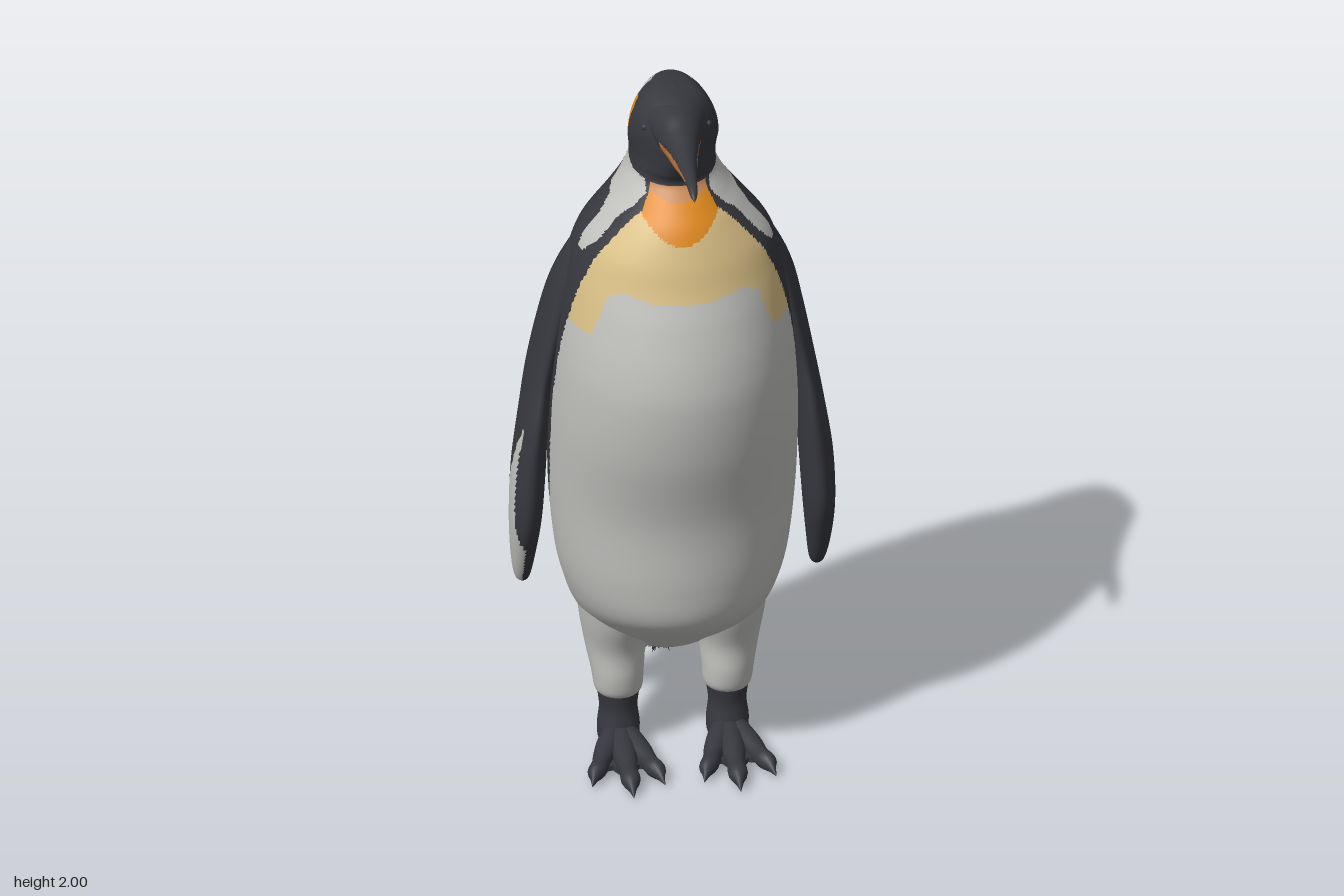
import * as THREE from 'three';
import { mergeGeometries } from 'three/addons/utils/BufferGeometryUtils.js';

const mat = (name, color) => {
  const m = new THREE.MeshStandardMaterial({ color });
  m.name = name;
  return m;
};

// Catmull-Rom through table rows, all columns at once
function sampleRows(rows, t) {
  const i = Math.min(Math.floor(t), rows.length - 2), f = t - i;
  const at = (k) => rows[Math.max(0, Math.min(rows.length - 1, k))];
  const [a, b, c, d] = [at(i - 1), at(i), at(i + 1), at(i + 2)];
  return b.map((_, k) => b[k] + 0.5 * f * (c[k] - a[k] + f * (2 * a[k] - 5 * b[k] + 4 * c[k] - d[k]
    + f * (3 * (b[k] - c[k]) + d[k] - a[k]))));
}

// Straight-line lookup in [key, value] pairs with rising keys
function lookup(pairs, key) {
  if (key <= pairs[0][0]) return pairs[0][1];
  for (let i = 1; i < pairs.length; i++) {
    const [k0, v0] = pairs[i - 1], [k1, v1] = pairs[i];
    if (key <= k1) return v0 + (v1 - v0) * (key - k0) / (k1 - k0);
  }
  return pairs[pairs.length - 1][1];
}

function inside(poly, a, b) {
  let hit = false;
  poly.forEach(([x1, y1], i) => {
    const [x2, y2] = poly[(i + 1) % poly.length];
    if ((y1 > b) !== (y2 > b) && a < x1 + (x2 - x1) * (b - y1) / (y2 - y1)) hit = !hit;
  });
  return hit;
}

// Loft of elliptical rings. Row: [position on axis, x, x radius, other centre, other radius].
// pick(centroid) gives the material index of each triangle; taper narrows a ring toward front or back.
function loft(name, rows, materials, { axis = 'y', steps = 6, segs = 24, pick = () => 0, taper = () => 0 } = {}) {
  const pos = [], lists = materials.map(() => []);
  const n = (rows.length - 1) * steps;
  for (let i = 0; i <= n; i++) {
    const [t, cx, rx, c2, r2] = sampleRows(rows, i / steps);
    const a = Math.max(0, rx), b = Math.max(0, r2);
    for (let j = 0; j < segs; j++) {
      const th = j / segs * Math.PI * 2, s = Math.sin(th), c = Math.cos(th);
      if (axis === 'y') pos.push(cx + a * s * (1 - taper(t, c)), t, c2 + b * c);
      else pos.push(cx - a * s, c2 + b * c, t);
    }
  }
  const p = new THREE.Vector3(), q = new THREE.Vector3();
  const tri = (...ids) => {
    p.set(0, 0, 0);
    ids.forEach((id) => p.add(q.fromArray(pos, id * 3)));
    lists[pick(p.divideScalar(3))].push(...ids);
  };
  for (let i = 0; i < n; i++) for (let j = 0; j < segs; j++) {
    const a = i * segs + j, b = i * segs + (j + 1) % segs;
    tri(a, b, b + segs);
    tri(a, b + segs, a + segs);
  }
  const g = new THREE.BufferGeometry();
  g.setAttribute('position', new THREE.Float32BufferAttribute(pos, 3));
  g.setIndex(lists.flat());
  let start = 0;
  lists.forEach((l, i) => { if (l.length) g.addGroup(start, l.length, i); start += l.length; });
  g.computeVertexNormals();
  const mesh = new THREE.Mesh(g, materials);
  mesh.name = name;
  return mesh;
}

// Height, half width, front z, back z
const BODY = [
  [0.12, 0, -0.36, -0.36], [0.145, 0.055, -0.29, -0.42], [0.2, 0.1, -0.12, -0.405], [0.25, 0.15, -0.02, -0.385],
  [0.32, 0.2, 0.08, -0.365], [0.37, 0.232, 0.155, -0.36], [0.42, 0.262, 0.22, -0.355], [0.49, 0.285, 0.28, -0.35],
  [0.6, 0.31, 0.3, -0.335], [0.8, 0.328, 0.312, -0.32], [1.02, 0.33, 0.365, -0.32], [1.18, 0.322, 0.382, -0.3],
  [1.29, 0.312, 0.37, -0.275], [1.41, 0.297, 0.335, -0.25], [1.5, 0.282, 0.3, -0.225], [1.58, 0.252, 0.275, -0.205],
  [1.66, 0.187, 0.24, -0.18], [1.71, 0.145, 0.2, -0.168], [1.76, 0.118, 0.155, -0.155], [1.8, 0.115, 0.17, -0.148],
  [1.85, 0.12, 0.195, -0.138], [1.9, 0.115, 0.205, -0.125], [1.94, 0.1, 0.195, -0.11], [1.975, 0.075, 0.16, -0.085],
  [1.993, 0.045, 0.1, -0.05], [2, 0, 0.03, 0.03],
].map(([y, w, f, b]) => [y, 0, w, (f + b) / 2, (f - b) / 2]);

// Plumage regions: z where the pale front begins, lower edge of the yellow bib, side patches in (z, y)
const FRONT_EDGE = [[0.2, 0.02], [0.3, -0.1], [0.36, -0.15], [0.5, -0.135], [0.6, -0.09], [0.8, 0.02],
  [1.1, 0.07], [1.25, 0.1], [1.4, 0.135], [1.52, 0.158], [1.6, 0.168], [1.7, 0.165], [1.76, 0.12]];
const BIB_EDGE = [[0, 1.48], [0.08, 1.485], [0.16, 1.5], [0.2, 1.48], [0.225, 1.41], [0.245, 1.365], [0.28, 1.36]];
const EAR = [[0.02, 1.93], [0, 1.95], [-0.045, 1.945], [-0.058, 1.88], [-0.02, 1.83], [0.01, 1.81], [0.018, 1.83]];
const NECK = [[-0.06, 1.81], [-0.06, 1.73], [-0.03, 1.69], [0.03, 1.68], [0.065, 1.64], [0.07, 1.58], [0.085, 1.555],
  [0.11, 1.555], [0.138, 1.6], [0.13, 1.67], [0.14, 1.7], [0.13, 1.76], [0.05, 1.765], [-0.02, 1.78]];

const DARK = 0, PALE = 1, YELLOW = 2, ORANGE = 3, PEACH = 4;
function plumage({ x, y, z }) {
  const ax = Math.abs(x);
  if (inside(EAR, z, y)) return ORANGE;
  if (y > 1.945 && y < 1.985 && z > -0.05 && z < -0.025) return PALE;
  if (ax > 0.085 && inside(NECK, z, y)) return PALE;
  if (y > 1.76 || z < lookup(FRONT_EDGE, y)) return DARK;
  if (y > 1.725 + 3 * x * x) return PEACH;
  if (y > 1.63 + 6 * x * x) return ORANGE;
  return y > lookup(BIB_EDGE, ax) ? YELLOW : PALE;
}

// Head narrows toward the bill, rump narrows toward the tail
const bodyTaper = (y, c) => (c > 0
  ? 0.45 * THREE.MathUtils.smoothstep(y, 1.76, 1.86) * c
  : -0.5 * (1 - THREE.MathUtils.smoothstep(y, 0.28, 0.6)) * c);

// Tuft of thin spikes on the tail end
function tailTuft(material) {
  let seed = 7;
  const rnd = () => (seed = (seed * 16807) % 2147483647) / 2147483647;
  const up = new THREE.Vector3(0, 1, 0), parts = [];
  for (let i = 0; i < 220; i++) {
    const th = rnd() * Math.PI * 2, r = Math.sqrt(rnd());
    const u = r * Math.cos(th), v = r * Math.sin(th);
    const len = 0.035 + 0.025 * rnd();
    // disc across the tail, bulging down and back
    const bulge = 0.03 * (1 - r * r);
    const base = new THREE.Vector3(u * 0.042, 0.14 + v * 0.022 - bulge * 0.7, -0.375 - v * 0.068 - bulge * 0.6);
    const dir = new THREE.Vector3(u * 0.4 + rnd() * 0.4 - 0.2, -0.6 + v * 0.4, -0.5 - v * 0.4 + rnd() * 0.4 - 0.2).normalize();
    const g = new THREE.ConeGeometry(0.008, len, 5).translate(0, len / 2, 0);
    g.applyQuaternion(new THREE.Quaternion().setFromUnitVectors(up, dir)).translate(base.x, base.y, base.z);
    parts.push(g);
  }
  const mesh = new THREE.Mesh(mergeGeometries(parts), material);
  mesh.name = 'tailTuft';
  return mesh;
}

export function createModel() {
  const dark = mat('charcoal feathers', 0x37383e), pale = mat('pale belly', 0xc0c0bd);
  const yellow = mat('yellow bib', 0xd9bf86), orange = mat('orange patch', 0xe08a1e);
  const peach = mat('peach throat', 0xc98a58), bill = mat('bill stripe', 0xc0733c);
  const model = new THREE.Group();
  model.name = 'penguin';

  // Body and head in one skin
  model.add(loft('bodyAndHead', BODY, [dark, pale, yellow, orange, peach], {
    steps: 10, segs: 180, pick: plumage, taper: bodyTaper,
  }));

  // Bill with a stripe along each lower side
  model.add(loft('bill', [
    [0.08, 0, 0.085, 1.925, 0.066], [0.16, 0, 0.062, 1.92, 0.064], [0.22, 0, 0.046, 1.915, 0.05],
    [0.3, 0, 0.032, 1.915, 0.033], [0.37, 0, 0.022, 1.924, 0.021], [0.44, 0, 0.014, 1.927, 0.012],
    [0.48, 0, 0.009, 1.918, 0.008], [0.5, 0, 0, 1.91, 0],
  ], [dark, bill], {
    axis: 'z', steps: 8, segs: 48,
    pick: ({ x, y, z }) => (z > 0.18 && z < 0.42 && Math.abs(x) > 0.006
      && y > lookup([[0.18, 1.882], [0.28, 1.892], [0.42, 1.922]], z)
      && y < lookup([[0.18, 1.912], [0.25, 1.922], [0.42, 1.932]], z) ? 1 : 0),
  }));

  // Tail stub and its tuft
  model.add(loft('tail', [
    [0.115, 0, 0, -0.385, 0], [0.125, 0, 0.042, -0.385, 0.055], [0.16, 0, 0.055, -0.38, 0.068],
    [0.22, 0, 0.058, -0.355, 0.062], [0.3, 0, 0.065, -0.32, 0.055], [0.38, 0, 0.05, -0.29, 0.04],
  ], [dark]));
  model.add(tailTuft(dark));

  for (const s of [1, -1]) {
    const side = s > 0 ? 'left' : 'right';
    const mirror = (rows) => rows.map(([t, x, ...r]) => [t, x * s, ...r]);

    const eye = new THREE.Mesh(new THREE.SphereGeometry(0.009, 12, 8), dark);
    eye.position.set(0.085 * s, 1.915, 0.1);
    eye.name = side + 'Eye';
    model.add(eye);

    // Flipper; the right one has a pale outer face near the tip
    model.add(loft(side + 'Flipper', mirror([
      [0.455, 0.39, 0, -0.075, 0], [0.48, 0.392, 0.02, -0.06, 0.032], [0.57, 0.393, 0.033, -0.03, 0.06],
      [0.7, 0.39, 0.043, 0, 0.088], [0.85, 0.382, 0.045, 0, 0.098], [1, 0.367, 0.038, -0.012, 0.108],
      [1.13, 0.348, 0.034, -0.032, 0.106], [1.3, 0.313, 0.036, -0.022, 0.096], [1.42, 0.283, 0.038, 0, 0.078],
      [1.52, 0.245, 0.035, 0.02, 0.062], [1.6, 0.205, 0.025, 0.03, 0.045], [1.64, 0.19, 0, 0.03, 0],
    ]), [dark, pale], {
      steps: 8, segs: 48,
      pick: ({ x, y, z }) => (x < -0.395 && y < 0.98 && z < 0.055
        && z > lookup([[0.5, -0.12], [0.7, -0.06], [0.85, 0], [0.98, 0.045]], y) ? 1 : 0),
    }));

    // Feathered thigh and bare ankle
    model.add(loft(side + 'Thigh', mirror([
      [0.15, 0.145, 0.05, 0.015, 0.05], [0.17, 0.145, 0.064, 0.015, 0.066], [0.22, 0.147, 0.07, 0.01, 0.08],
      [0.3, 0.15, 0.083, -0.012, 0.105], [0.4, 0.147, 0.102, -0.01, 0.14], [0.5, 0.145, 0.11, 0, 0.15],
      [0.62, 0.14, 0.1, 0.01, 0.11],
    ]), [pale], { segs: 40 }));
    model.add(loft(side + 'Ankle', mirror([
      [0, 0.145, 0, 0.02, 0], [0.005, 0.145, 0.048, 0.02, 0.05], [0.05, 0.145, 0.057, 0.02, 0.056],
      [0.11, 0.145, 0.051, 0.016, 0.051], [0.17, 0.145, 0.057, 0.015, 0.058], [0.2, 0.145, 0.05, 0.015, 0.05],
    ]), [dark]));

    // Three toes ending in claws, joined by a web
    [[0.245, 0.275], [0.142, 0.345], [0.052, 0.285]].forEach(([tx, tz], i) => {
      const rows = [[0, 0, 0, 0.04], [0.08, 0.03, 0.033, 0.036], [0.4, 0.034, 0.03, 0.03], [0.65, 0.025, 0.025, 0.025],
        [0.8, 0.026, 0.025, 0.025], [0.9, 0.012, 0.014, 0.02], [1, 0, 0, 0.008]]
        .map(([f, rx, ry, cy]) => [f * tz, 0.145 + (tx - 0.145) * f, rx, cy, ry]);
      model.add(loft(side + 'Toe' + (i + 1), mirror(rows), [dark], { axis: 'z', segs: 16, steps: 4 }));
    });
    const web = new THREE.Shape([[0.12, 0.02], [0.17, 0.02], [0.215, 0.2], [0.18, 0.19], [0.145, 0.25], [0.11, 0.19], [0.085, 0.2]]
      .map(([x, z]) => new THREE.Vector2(x * s, z)));
    const webMesh = new THREE.Mesh(
      new THREE.ExtrudeGeometry(web, { depth: 0.015, bevelEnabled: false }).rotateX(Math.PI / 2).translate(0, 0.022, 0), dark);
    webMesh.name = side + 'FootWeb';
    model.add(webMesh);
  }
  return model;
}
